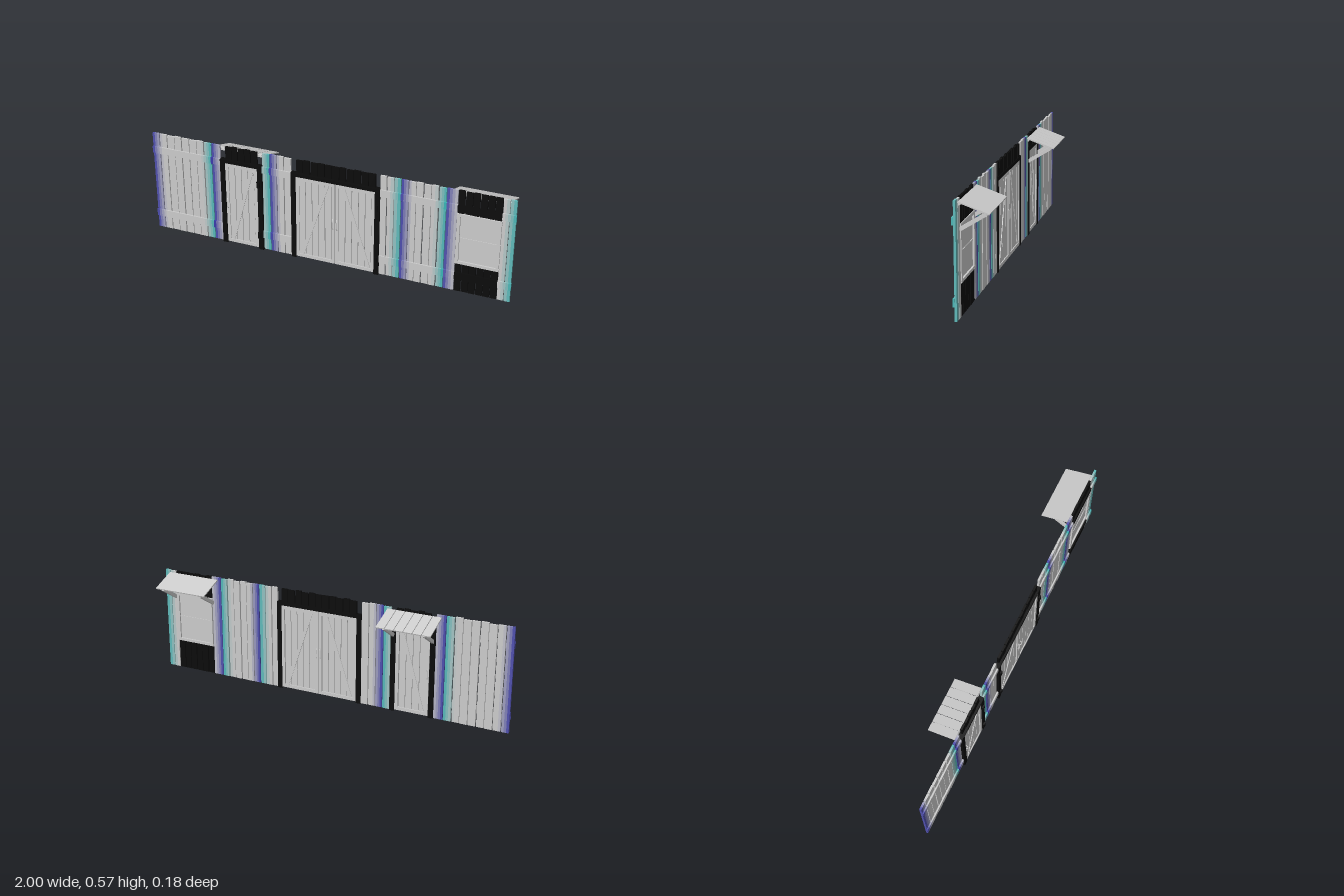
import * as THREE from 'three';

const GREY = 0xcccccc, BLACK = 0x0b0b0b;
const materials = new Map();
function material(color) {
  if (!materials.has(color)) {
    materials.set(color, new THREE.MeshStandardMaterial({ color, flatShading: true }));
  }
  return materials.get(color);
}

// Box given by its limits on each axis
function box(parent, name, [x0, x1], [y0, y1], [z0, z1], color = GREY) {
  const mesh = new THREE.Mesh(new THREE.BoxGeometry(x1 - x0, y1 - y0, z1 - z0), material(color));
  mesh.position.set((x0 + x1) / 2, (y0 + y1) / 2, (z0 + z1) / 2);
  mesh.name = name;
  parent.add(mesh);
  return mesh;
}

// Flat bar between two points (any plane), with width and depth across it
function bar(parent, name, a, b, width, depth, color = GREY) {
  const from = new THREE.Vector3(...a), to = new THREE.Vector3(...b);
  const dir = to.clone().sub(from);
  const mesh = new THREE.Mesh(new THREE.BoxGeometry(width, dir.length(), depth), material(color));
  mesh.position.copy(from).add(to).multiplyScalar(0.5);
  mesh.quaternion.setFromUnitVectors(new THREE.Vector3(0, 1, 0), dir.normalize());
  mesh.name = name;
  parent.add(mesh);
}

function subgroup(parent, name) {
  const g = new THREE.Group();
  g.name = name;
  parent.add(g);
  return g;
}

// Paint fades: blue to the right of a panel start, teal to the left of a panel end
const blueEdges = [-1, -0.647, -0.31, 0.412, 0.647];
const tealEdges = [-0.647, -0.31, 0.412, 0.647, 1];
const FADE = 0.06;
function tint(x) {
  const c = new THREE.Color(GREY);
  for (const e of blueEdges) {
    if (x >= e && x < e + FADE) c.lerp(new THREE.Color(0x0c0ca8), 1 - (x - e) / FADE);
  }
  for (const e of tealEdges) {
    if (x < e && x > e - FADE) c.lerp(new THREE.Color(0x08b4b4), 1 - (e - x) / FADE);
  }
  if (x > 0.706 && x < 0.93) c.set(BLACK);
  return c.getHex();
}

// Box cut into thin strips that follow the paint fade
function paintedBox(parent, name, [x0, x1], ys, zs) {
  const n = Math.max(1, Math.round((x1 - x0) / 0.014));
  const step = (x1 - x0) / n;
  let start = x0;
  for (let i = 0; i < n; i++) {
    const end = x0 + (i + 1) * step;
    const color = tint(end - step / 2);
    // join neighbouring strips of equal colour
    if (i < n - 1 && tint(end + step / 2) === color) continue;
    box(parent, name, [start, end], ys, zs, color);
    start = end;
  }
}

// Row of upright planks with slightly uneven tops, gaps and depth
function planks(parent, name, x0, x1, count, y0, y1, color) {
  const row = subgroup(parent, name);
  const w = (x1 - x0) / count;
  for (let i = 0; i < count; i++) {
    const r = Math.sin((x0 + i * w) * 91.7);
    const a = x0 + i * w + 0.001;
    const b = a + w - 0.0035 - 0.002 * Math.max(0, r);
    const top = y1 > 0.5 ? y1 - 0.0025 + 0.0025 * r : y1;
    const zs = [0.06 + 0.001 * r, 0.071 + 0.001 * r];
    if (color === undefined) paintedBox(row, 'plank', [a, b], [y0, top], zs);
    else box(row, 'plank', [a, b], [y0, top], zs, color);
  }
}

// Pull handle bowed out from z0 to z1
function handle(parent, x, z0, z1) {
  const pts = [[0.212, z0], [0.22, z1], [0.262, z1], [0.27, z0]];
  const path = new THREE.CurvePath();
  for (let i = 0; i < 3; i++) {
    path.add(new THREE.LineCurve3(
      new THREE.Vector3(x, ...pts[i]), new THREE.Vector3(x, ...pts[i + 1])));
  }
  const mesh = new THREE.Mesh(new THREE.TubeGeometry(path, 12, 0.0025, 6), material(GREY));
  mesh.name = 'handle';
  parent.add(mesh);
}

// Boarded door leaf, framed on both faces, with a brace from foot to head
function doorLeaf(parent, name, x0, x1, boards, braceFoot, braceHead, handleX, hingeX) {
  const leaf = subgroup(parent, name);
  const y0 = 0.008, y1 = 0.474, s = 0.018, zs = [0.058, 0.078];
  const w = (x1 - x0 - 2 * s) / boards;
  for (let i = 0; i < boards; i++) {
    const a = x0 + s + i * w;
    box(leaf, 'doorBoard', [a, a + w - 0.003], [y0 + 0.005, y1 - 0.005], [0.063, 0.073]);
  }
  box(leaf, 'doorStile', [x0, x0 + s], [y0, y1], zs);
  box(leaf, 'doorStile', [x1 - s, x1], [y0, y1], zs);
  box(leaf, 'doorRail', [x0 + s, x1 - s], [y0, y0 + s], zs);
  box(leaf, 'doorRail', [x0 + s, x1 - s], [y1 - s, y1], zs);
  bar(leaf, 'doorBrace', [braceFoot, y0 + s, 0.068], [braceHead, y1 - s, 0.068], 0.018, 0.018);
  handle(leaf, handleX, 0.077, 0.088);
  handle(leaf, handleX, 0.059, 0.056);
  for (const y of [0.07, 0.37]) {
    box(leaf, 'hinge', [hingeX - 0.008, hingeX + 0.008], [y, y + 0.035], [0.078, 0.09], BLACK);
  }
}

// Sloping canopy on the rear with a triangular bracket at each end
function awning(parent, name, x0, x1, boards, endZ, bracketXs) {
  const g = subgroup(parent, name);
  const startZ = 0.058, slope = 0.34;
  const tilt = Math.atan(slope);
  const length = (startZ - endZ) / Math.cos(tilt);
  const w = (x1 - x0) / boards;
  for (let i = 0; i < boards; i++) {
    const gap = boards > 1 ? 0.003 : 0;
    const mesh = new THREE.Mesh(new THREE.BoxGeometry(w - gap, 0.006, length), material(GREY));
    mesh.position.set(x0 + (i + 0.5) * w, 0.53, (startZ + endZ) / 2);
    mesh.rotation.x = -tilt;
    mesh.name = 'awningBoard';
    g.add(mesh);
  }
  for (const x of bracketXs) {
    bar(g, 'awningRafter', [x, 0.547, 0.06], [x, 0.501, -0.076], 0.013, 0.01);
    bar(g, 'awningStrut', [x, 0.42, 0.06], [x, 0.499, -0.064], 0.013, 0.018);
  }
  box(g, 'awningLedger', [x0 + 0.01, x1 - 0.01], [0.537, 0.548], [0.05, 0.06]);
}

export function createModel() {
  const model = new THREE.Group();
  model.name = 'plankWall';

  // Plank panels, including the dark ones around the openings
  const panels = [
    [-1, -0.647, 8], [-0.647, -0.594, 1], [-0.353, -0.31, 1], [-0.31, -0.187, 3],
    [0.3, 0.412, 3], [0.412, 0.647, 6], [0.647, 0.706, 1], [0.93, 1, 2],
  ];
  for (const [a, b, n] of panels) planks(model, 'wallPanel', a, b, n, 0.003, 0.57);
  planks(model, 'overDoorPlanks', -0.567, -0.38, 5, 0.476, 0.57, BLACK);
  planks(model, 'overGatePlanks', -0.16, 0.278, 11, 0.476, 0.57, BLACK);
  planks(model, 'overWindowPlanks', 0.706, 0.93, 6, 0.44, 0.57, BLACK);
  planks(model, 'underWindowPlanks', 0.706, 0.93, 6, 0.003, 0.168, BLACK);

  // Horizontal rails on the front
  for (const [a, b] of [[-1, -0.594], [-0.353, -0.187], [0.3, 1]]) {
    paintedBox(model, 'upperRail', [a, b], [0.455, 0.493], [0.071, 0.079]);
    paintedBox(model, 'lowerRail', [a, b], [0.073, 0.114], [0.071, 0.079]);
  }

  // Door posts and lintels
  for (const [a, b] of [[-0.594, -0.353], [-0.187, 0.302]]) {
    box(model, 'doorPost', [a, a + 0.026], [0, 0.495], [0.056, 0.082], BLACK);
    box(model, 'doorPost', [b - 0.026, b], [0, 0.495], [0.056, 0.082], BLACK);
    box(model, 'lintel', [a + 0.026, b - 0.026], [0.476, 0.495], [0.056, 0.082], BLACK);
  }

  // Single door and the two gate leaves
  doorLeaf(model, 'singleDoor', -0.566, -0.381, 4, -0.535, -0.412, -0.557, -0.372);
  doorLeaf(model, 'gateLeafRight', -0.16, 0.057, 5, -0.128, 0.015, 0.048, -0.169);
  doorLeaf(model, 'gateLeafLeft', 0.061, 0.278, 5, 0.246, 0.103, 0.07, 0.287);

  // Window with frame, two sashes and a middle bar
  const win = subgroup(model, 'window');
  const zs = [0.055, 0.079];
  box(win, 'windowPane', [0.72, 0.92], [0.18, 0.43], [0.064, 0.07]);
  for (const x of [0.706, 0.915]) box(win, 'windowJamb', [x, x + 0.016], [0.178, 0.434], zs);
  box(win, 'windowHead', [0.704, 0.933], [0.43, 0.445], zs);
  box(win, 'windowSill', [0.704, 0.933], [0.165, 0.18], zs);
  box(win, 'windowBar', [0.722, 0.915], [0.304, 0.312], [0.061, 0.073]);

  // Rear canopies
  awning(model, 'doorAwning', -0.625, -0.33, 6, -0.089, [-0.581, -0.366]);
  awning(model, 'windowAwning', 0.665, 0.967, 1, -0.086, [0.7, 0.935]);
  return model;
}
